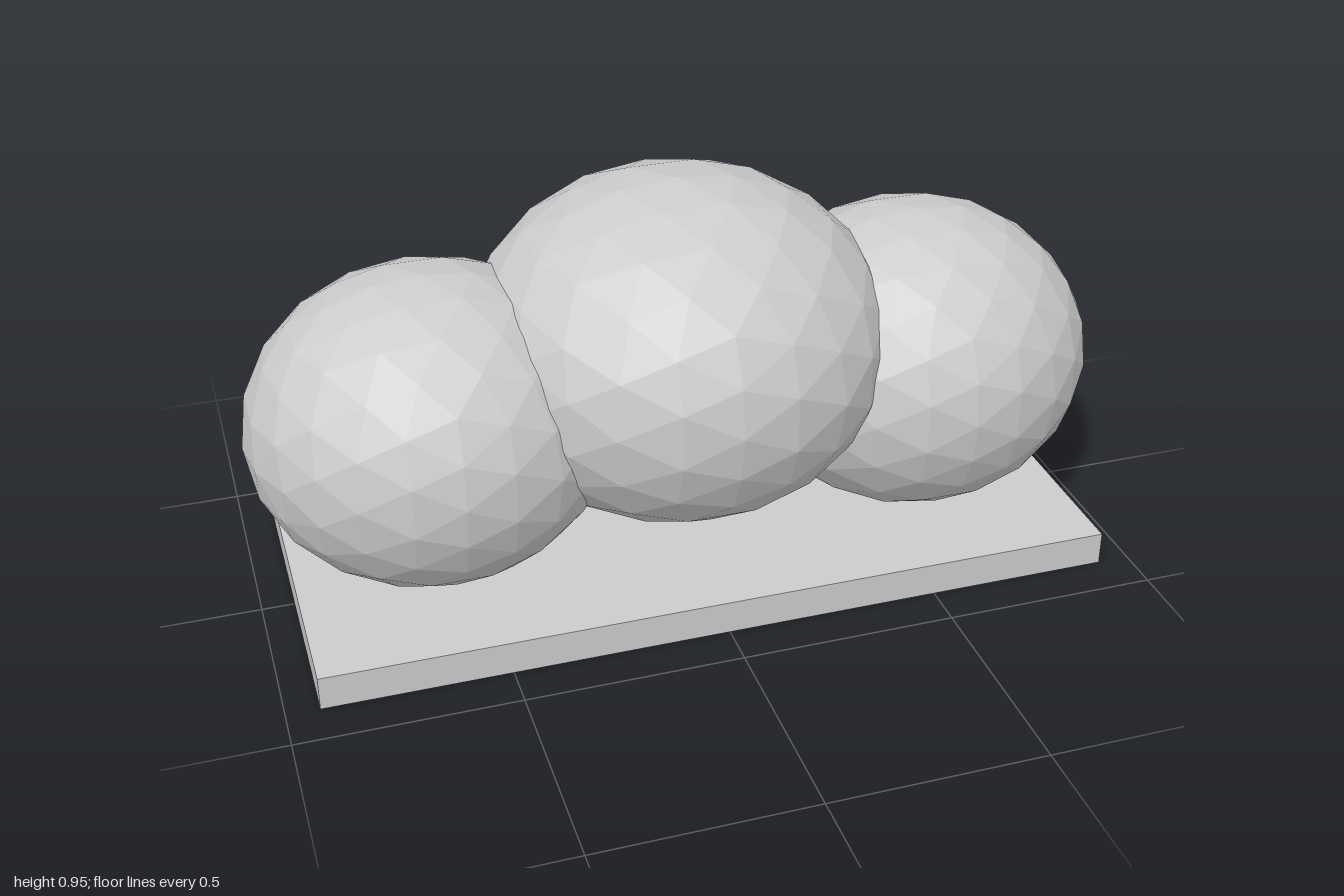
import * as THREE from 'three';

// Faceted ball: an icosahedron split in two twice, rounding out after each split
function facetedBall() {
  const coarse = new THREE.IcosahedronGeometry(1, 1);
  const points = Array.from(coarse.attributes.position.array);
  const corners = points.slice(0, points.length / 3).map((_, i) => i);
  return new THREE.PolyhedronGeometry(points, corners, 1, 1);
}

export function createModel() {
  const group = new THREE.Group();
  const material = new THREE.MeshStandardMaterial({ color: 0xcccccc, flatShading: true });

  const add = (name, geometry, x, y) => {
    const mesh = new THREE.Mesh(geometry, material);
    mesh.name = name;
    mesh.position.set(x, y, 0);
    group.add(mesh);
    return mesh;
  };

  // Flat base slab
  add('base', new THREE.BoxGeometry(1.85, 0.08, 0.8), 0, 0.04);

  // Large middle lobe, raised above the base
  const ball = facetedBall();
  add('middleLobe', ball, 0, 0.55).scale.set(0.49, 0.4, 0.478);

  // Smaller lobes at both ends, sunk slightly into the base
  for (const [name, side] of [['leftLobe', 1], ['rightLobe', -1]]) {
    add(name, ball, side * 0.58, 0.433).scale.set(0.42, 0.365, 0.396);
  }

  return group;
}
